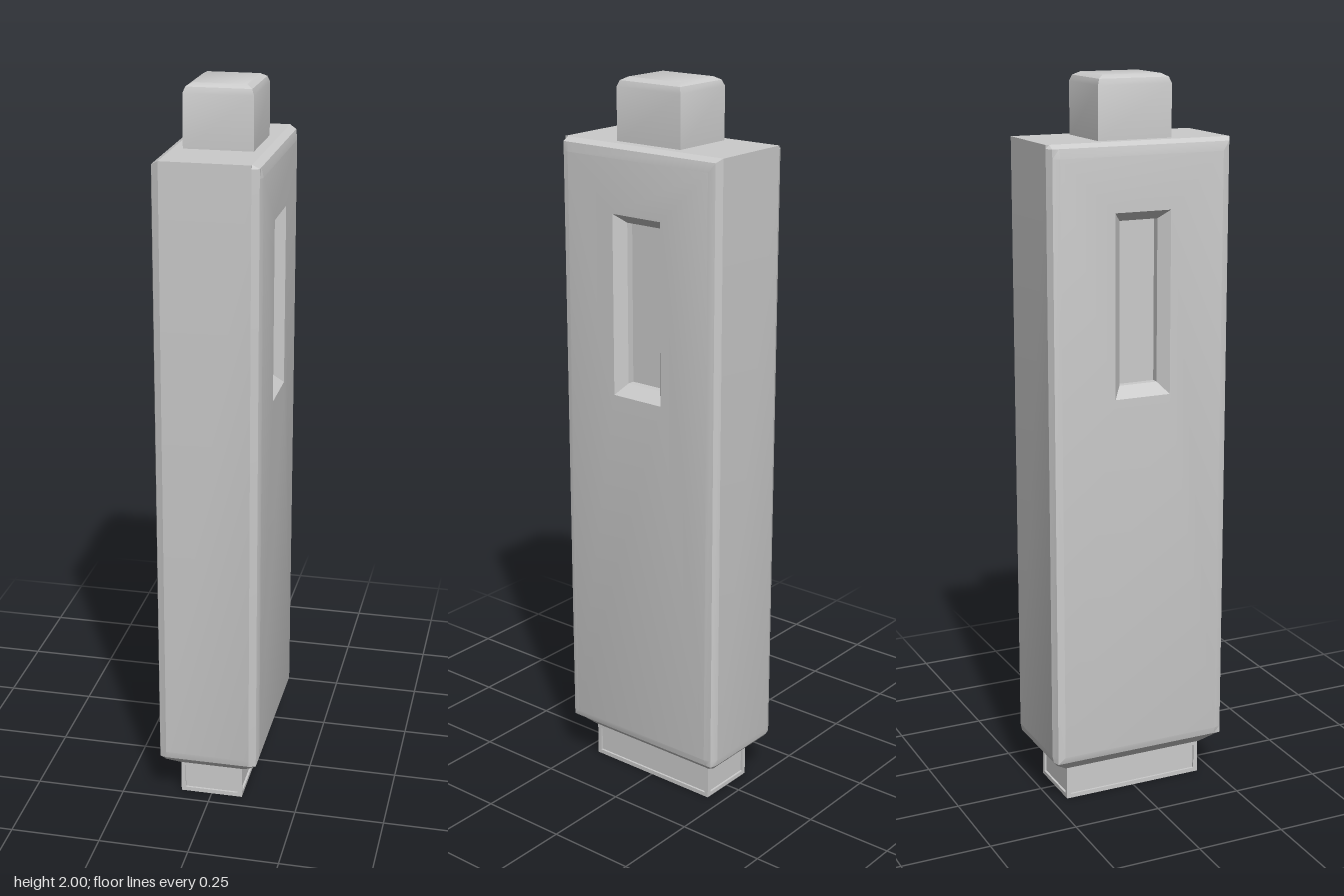
import * as THREE from 'three';
import { mergeGeometries, toCreasedNormals } from 'three/addons/utils/BufferGeometryUtils.js';

const material = new THREE.MeshStandardMaterial({ color: 0xcccccc });

// Skins a stack of equal-length rings of [x, y, z] points, with optional end caps.
function loft(rings, { start = false, end = false, skip = () => false } = {}) {
  const n = rings[0].length;
  const index = [];
  for (let r = 0; r < rings.length - 1; r++) {
    for (let i = 0; i < n; i++) {
      if (skip(r, i)) continue;
      const a = r * n + i, b = r * n + (i + 1) % n;
      index.push(a, b, b + n, a, b + n, a + n);
    }
  }
  const last = (rings.length - 1) * n;
  for (let i = 1; i < n - 1; i++) {
    if (start) index.push(0, i + 1, i);
    if (end) index.push(last, last + i, last + i + 1);
  }
  const geometry = new THREE.BufferGeometry();
  geometry.setAttribute('position', new THREE.Float32BufferAttribute(rings.flat(2), 3));
  geometry.setIndex(index);
  return geometry;
}

// Wall facing +x with a recess; each ring is [x, half width in z, bottom y, top y].
function recessedWall(steps) {
  return loft(steps.map(([x, w, y0, y1]) => [[x, y0, -w], [x, y1, -w], [x, y1, w], [x, y0, w]]), { end: true });
}

function addMesh(parent, name, parts, crease) {
  const mesh = new THREE.Mesh(toCreasedNormals(mergeGeometries(parts), crease), material);
  mesh.name = name;
  parent.add(mesh);
}

export function createModel() {
  const model = new THREE.Group();
  model.name = 'stickDevice';

  // Body outline with bevelled vertical edges, counterclockwise from above
  const corner = [[0.118, 0.262], [0.137, 0.252], [0.143, 0.233]];
  const half = [...corner, ...corner.map(([x, z]) => [x, -z]).reverse()];
  const outline = [...half, ...half.map(([x, z]) => [-x, -z])];

  // Each level is [y, x limit, z limit]; the outline is clamped to the limits
  const levels = [
    [0.095, 0.09, 0.21], [0.125, 0.12, 0.25], [0.135, 0.137, 0.258], [0.155, 0.143, 0.262],
    [1.8, 0.143, 0.262], [1.825, 0.137, 0.262], [1.835, 0.118, 0.262],
  ];
  const clamp = THREE.MathUtils.clamp;
  const rings = levels.map(([y, mx, mz]) => outline.map(([x, z]) => [clamp(x, -mx, mx), y, clamp(z, -mz, mz)]));
  const shell = loft(rings, { start: true, end: true, skip: (r, i) => r === 3 && (i === 2 || i === 8) });

  // Broad sides, each with a bevelled slot
  const side = recessedWall([
    [0.143, 0.233, 0.155, 1.8],
    [0.143, 0.08, 1.16, 1.655],
    [0.113, 0.055, 1.19, 1.63],
    [0.093, 0.055, 1.19, 1.63],
  ]);
  addMesh(model, 'body', [shell, side, side.clone().rotateY(Math.PI)], 0.35);

  // Top button with a softly rounded upper edge
  const button = [[1.83, 0], [1.975, 0], [1.991, 0.006], [2, 0.022]].map(([y, inset]) => {
    const x = 0.092 - inset, z = 0.105 - inset;
    return [[-x, y, z], [x, y, z], [x, y, -z], [-x, y, -z]];
  });
  addMesh(model, 'topButton', [loft(button, { end: true })], 0.6);

  // Bottom plug: four shallow recessed panels and a flat base
  const plugX = 0.088, plugZ = 0.206;
  const panels = [0, 1, 2, 3].map((k) => {
    const [d, w] = k % 2 ? [plugZ, plugX] : [plugX, plugZ];
    return recessedWall([
      [d, w, 0, 0.096],
      [d, w - 0.012, 0.012, 0.084],
      [d - 0.006, w - 0.012, 0.012, 0.084],
    ]).rotateY(k * Math.PI / 2);
  });
  const base = [[-plugX, 0, plugZ], [plugX, 0, plugZ], [plugX, 0, -plugZ], [-plugX, 0, -plugZ]];
  addMesh(model, 'bottomPlug', [...panels, loft([base], { start: true })], 0.35);

  return model;
}
